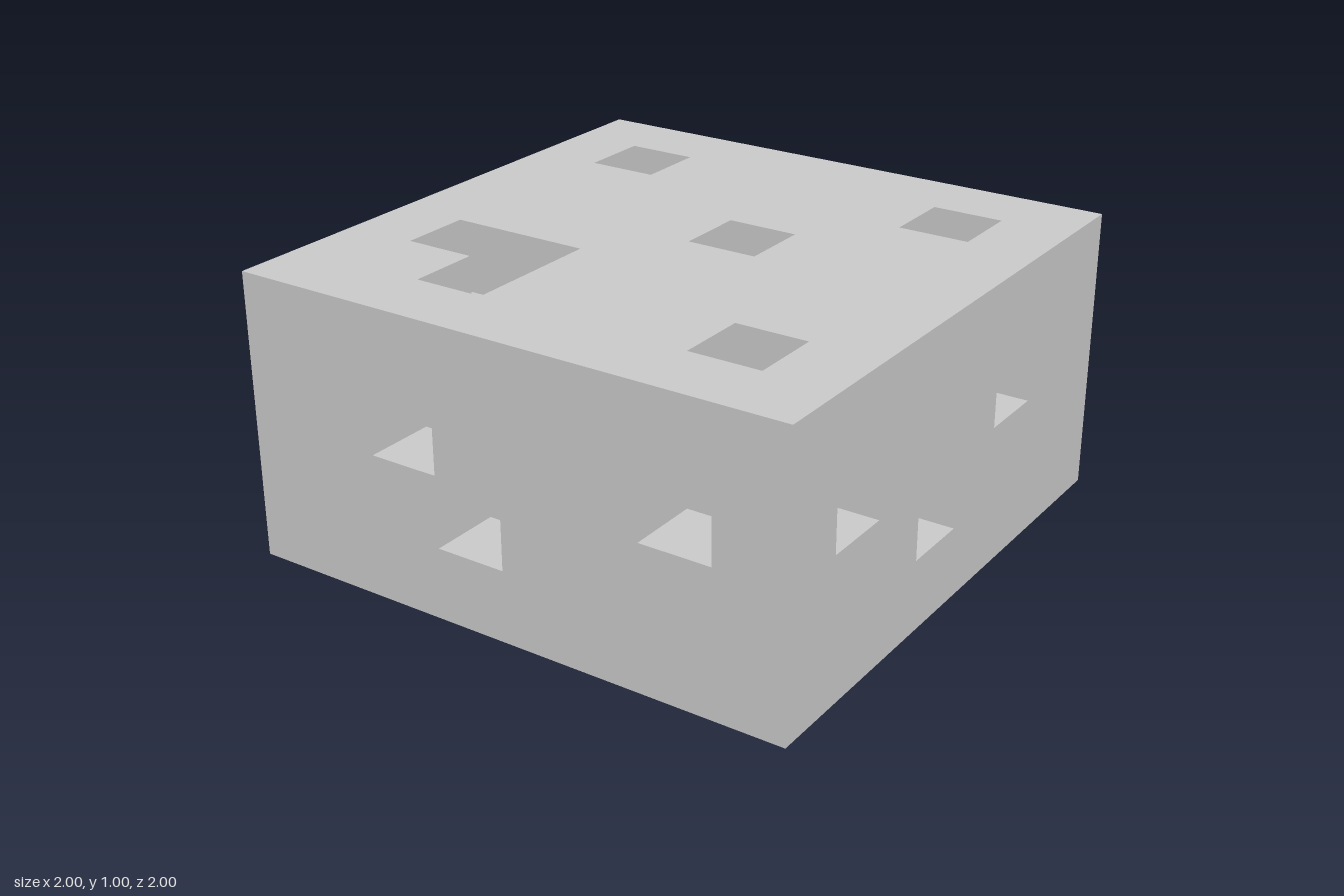
import * as THREE from 'three';
import { mergeGeometries } from 'three/addons/utils/BufferGeometryUtils.js';

const CELL = 0.25;
const NX = 8, NY = 4, NZ = 8;

// Square recesses, one cell deep, as [column, row] on each face
const recesses = new Set([
  ...[[2, 2], [3, 1], [6, 2]].map(([i, j]) => `${i},${j},7`), // front: x, y
  ...[[6, 1], [4, 2], [1, 1]].map(([i, j]) => `${i},${j},0`), // back: x, y
  ...[[6, 2], [4, 1], [2, 2]].map(([k, j]) => `7,${j},${k}`), // right side: z, y
  ...[[2, 2], [5, 1], [6, 2]].map(([k, j]) => `0,${j},${k}`), // left side: z, y
  ...[[1, 1], [6, 1], [4, 3], [6, 6], [1, 5], [2, 5], [2, 6]]
    .map(([i, k]) => `${i},3,${k}`), // top: x, z
]);

const inside = (i, j, k) => i >= 0 && i < NX && j >= 0 && j < NY && k >= 0 && k < NZ;
const solid = (i, j, k) => inside(i, j, k) && !recesses.has(`${i},${j},${k}`);

const directions = [[1, 0, 0], [-1, 0, 0], [0, 1, 0], [0, -1, 0], [0, 0, 1], [0, 0, -1]]
  .map((d) => new THREE.Vector3(...d));
const forward = new THREE.Vector3(0, 0, 1);

// One cell-sized square on the side of a cell that faces the given direction
function tile(i, j, k, direction) {
  const turn = new THREE.Quaternion().setFromUnitVectors(forward, direction);
  const centre = new THREE.Vector3(i + 0.5 - NX / 2, j + 0.5, k + 0.5 - NZ / 2)
    .addScaledVector(direction, 0.5)
    .multiplyScalar(CELL);
  return new THREE.PlaneGeometry(CELL, CELL)
    .applyQuaternion(turn)
    .translate(centre.x, centre.y, centre.z);
}

export function createModel() {
  const group = new THREE.Group();
  group.name = 'recessedBlock';
  const material = new THREE.MeshStandardMaterial({ color: 0xcccccc, flatShading: true });

  // Tile every exposed side of the solid cells
  const outer = [], inner = [];
  for (let i = 0; i < NX; i++) {
    for (let j = 0; j < NY; j++) {
      for (let k = 0; k < NZ; k++) {
        if (!solid(i, j, k)) continue;
        for (const d of directions) {
          const next = [i + d.x, j + d.y, k + d.z];
          if (solid(...next)) continue;
          (inside(...next) ? inner : outer).push(tile(i, j, k, d));
        }
      }
    }
  }

  const block = new THREE.Mesh(mergeGeometries(outer), material);
  block.name = 'blockFaces';
  const walls = new THREE.Mesh(mergeGeometries(inner), material);
  walls.name = 'recessWalls';
  group.add(block, walls);
  return group;
}
